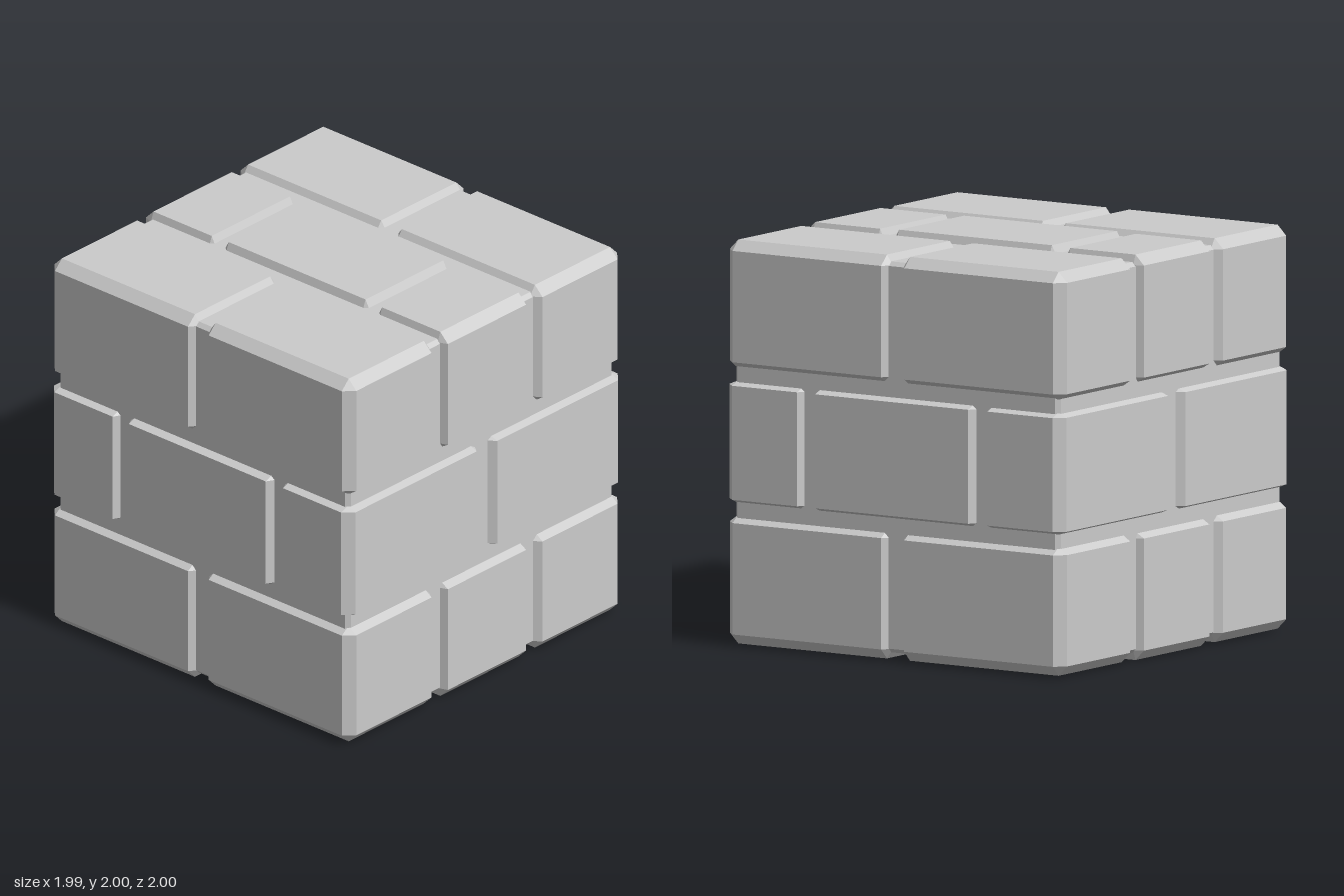
import * as THREE from 'three';
import { ConvexGeometry } from 'three/addons/geometries/ConvexGeometry.js';

const material = new THREE.MeshStandardMaterial({ color: 0xcccccc, flatShading: true });

// Box with cut edges; each range is [min, max, minInset, maxInset], centred on the cube.
function chamferedBox(name, ranges) {
  const points = [];
  for (let corner = 0; corner < 8; corner++) {
    const side = [corner & 1, (corner >> 1) & 1, corner >> 2];
    for (let face = 0; face < 3; face++) {
      const p = ranges.map((r, axis) => {
        const inset = axis === face ? 0 : r[2 + side[axis]];
        return side[axis] ? r[1] - inset : r[0] + inset;
      });
      points.push(new THREE.Vector3(...p));
    }
  }
  const mesh = new THREE.Mesh(new ConvexGeometry(points), material);
  mesh.name = name;
  return mesh;
}

// Range from a joint to the outer surface, on the + or - side.
function outward(sign, inner, outer, innerInset) {
  return sign > 0
    ? [inner, outer, innerInset, 0.05]
    : [-outer, -inner, 0.05, innerInset];
}

// Range centred on zero.
const centred = (half, inset) => [-half, half, inset, inset];

export function createModel() {
  const group = new THREE.Group();
  const bricks = new THREE.Group();
  bricks.name = 'bricks';
  bricks.position.y = 1;
  group.add(bricks);

  // Mortar core seen in the joints
  bricks.add(chamferedBox('mortarCore', [centred(0.955, 0.02), centred(0.96, 0.02), centred(0.96, 0.02)]));

  const signs = [-1, 1];
  for (const a of signs) {
    for (const b of signs) {
      // Top and bottom courses: corner bricks
      for (const c of signs) {
        bricks.add(chamferedBox('cornerBrick', [
          outward(a, 0.032, 0.993, 0.036), outward(b, 0.36, 0.992, 0.035), outward(c, 0.365, 0.992, 0.035),
        ]));
      }
      // Top and bottom courses: bricks in the middle of the sides
      bricks.add(chamferedBox('sideBrick', [
        outward(a, 0.535, 0.993, 0.025), outward(b, 0.365, 0.996, 0.03), centred(0.3, 0.018),
      ]));
      // Middle course: corner bricks
      bricks.add(chamferedBox('middleCornerBrick', [
        outward(a, 0.535, 0.993, 0.025), centred(0.3, 0.02), outward(b, 0.038, 0.996, 0.036),
      ]));
    }
    // Centre bricks of the top and bottom, and of the front and back
    bricks.add(chamferedBox('capBrick', [centred(0.477, 0.027), outward(a, 0.36, 1, 0.03), centred(0.3, 0.02)]));
    bricks.add(chamferedBox('faceBrick', [centred(0.477, 0.027), centred(0.3, 0.02), outward(a, 0.36, 1, 0.03)]));
  }
  return group;
}
